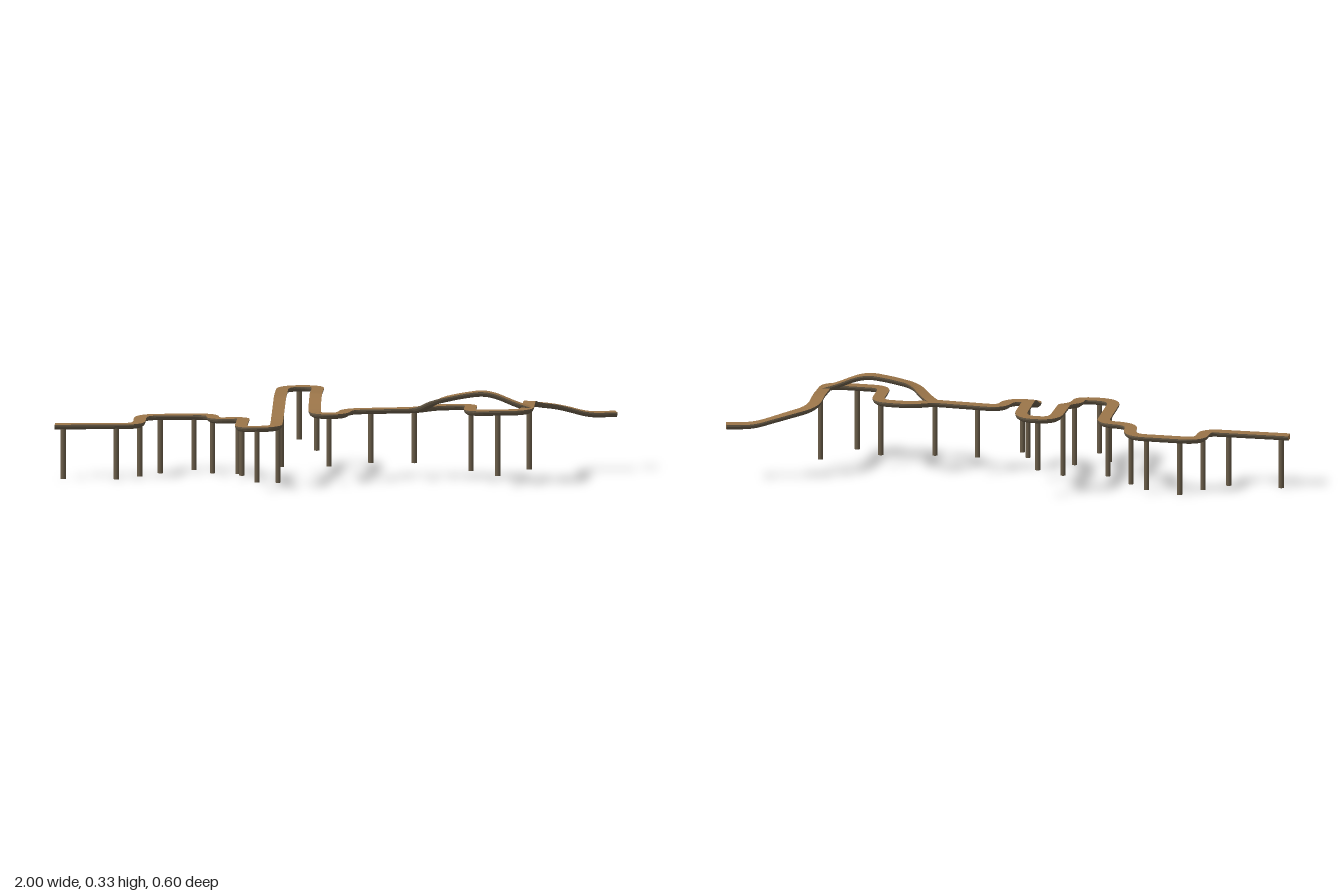
import * as THREE from 'three';

const wood = new THREE.MeshStandardMaterial({ color: 0x9b7549 });
wood.name = 'tan wood';
const darkWood = new THREE.MeshStandardMaterial({ color: 0x6a5d49 });
darkWood.name = 'dark timber';

// Right half of the rounded hull below the flat deck: [sideways, down]
const half = [[0.022, 0], [0.0215, -0.006], [0.018, -0.013], [0.011, -0.018]];
const hull = [...half, ...half.map(([s, d]) => [-s, d]).reverse()];

// Polyline of [x, y, z, cornerRadius] with rounded corners
function roundedPath(corners) {
  const pts = corners.map(([x, y, z]) => new THREE.Vector3(x, y, z));
  const out = [pts[0]];
  for (let i = 1; i < pts.length - 1; i++) {
    const p = pts[i];
    const r = corners[i][3] ?? 0.03;
    const toward = (q) => p.clone().lerp(q, Math.min(0.48, r / p.distanceTo(q)));
    out.push(...new THREE.QuadraticBezierCurve3(toward(pts[i - 1]), p, toward(pts[i + 1])).getPoints(7));
  }
  out.push(pts[pts.length - 1]);
  return out;
}

// Join matching rows of points into faces
function loft(rows, name, material) {
  const pos = [];
  const quad = (a, b, c, d) => [a, b, c, a, c, d].forEach((p) => pos.push(p.x, p.y, p.z));
  for (let i = 0; i < rows.length - 1; i++)
    for (let j = 0; j < rows[i].length - 1; j++)
      quad(rows[i][j], rows[i][j + 1], rows[i + 1][j + 1], rows[i + 1][j]);
  const g = new THREE.BufferGeometry();
  g.setAttribute('position', new THREE.Float32BufferAttribute(pos, 3));
  g.computeVertexNormals();
  const mesh = new THREE.Mesh(g, material);
  mesh.name = name;
  return mesh;
}

// Flat deck, hull below it and end caps, swept along a path
function track(path, name) {
  const group = new THREE.Group();
  group.name = name;
  const rings = path.map((p, i) => {
    const t = path[Math.min(i + 1, path.length - 1)].clone().sub(path[Math.max(i - 1, 0)]);
    const side = new THREE.Vector3(-t.z, 0, t.x).normalize();
    return hull.map(([s, d]) => p.clone().addScaledVector(side, s).add(new THREE.Vector3(0, d, 0)));
  });
  const n = hull.length;
  group.add(loft(rings.map((r) => [r[n - 1], r[0]]), 'deck', wood));
  group.add(loft(rings, 'hull', darkWood));
  // Caps join the right half of the ring to the left half
  const cap = (r) => [r.slice(0, n / 2), r.slice(n / 2).reverse()];
  group.add(loft(cap(rings[0]).reverse(), 'startCap', wood));
  group.add(loft(cap(rings[rings.length - 1]), 'endCap', wood));
  return group;
}

export function createModel() {
  const model = new THREE.Group();
  model.name = 'elevatedTrack';

  // Main winding run
  const main = roundedPath([
    [-1, 0.197, 0.015], [-0.70, 0.2, 0.015, 0.05], [-0.70, 0.209, -0.143, 0.06],
    [-0.445, 0.213, -0.143, 0.06], [-0.435, 0.217, -0.012, 0.05], [-0.325, 0.221, -0.005, 0.04],
    [-0.325, 0.228, 0.276, 0.06], [-0.198, 0.231, 0.276, 0.06], [-0.198, 0.236, 0.2],
    [-0.198, 0.25, 0.13], [-0.198, 0.293, -0.06], [-0.198, 0.296, -0.28, 0.07],
    [-0.07, 0.298, -0.28, 0.07], [-0.07, 0.304, -0.05], [-0.07, 0.264, 0.05],
    [-0.065, 0.255, 0.113, 0.045], [0.03, 0.255, 0.113, 0.05], [0.045, 0.257, 0.012, 0.05],
    [0.29, 0.264, 0.015], [0.36, 0.267, -0.035, 0.035], [0.488, 0.27, -0.035, 0.05],
    [0.488, 0.274, 0.147, 0.05], [0.695, 0.278, 0.147, 0.06], [0.695, 0.285, -0.04],
    [0.7, 0.266, -0.14, 0.05], [0.79, 0.249, -0.205, 0.06], [0.9, 0.216, -0.229, 0.04],
    [0.995, 0.217, -0.252],
  ]);
  model.add(track(main, 'mainTrack'));

  // Humped branch crossing over the main run
  model.add(track(roundedPath([
    [0.29, 0.264, 0.015], [0.315, 0.272, 0.036], [0.37, 0.307, 0.083, 0.035],
    [0.45, 0.325, 0.083], [0.53, 0.337, 0.083], [0.58, 0.328, 0.083],
    [0.65, 0.298, 0.083], [0.705, 0.28, 0.083],
  ]), 'overpassTrack'));

  // Round posts: [x, z, foot height], each reaching up into the nearest deck
  const posts = [
    [-0.97, 0.02, 0], [-0.78, 0.02, 0], [-0.70, -0.055, 0], [-0.63, -0.14, 0],
    [-0.51, -0.14, 0.013], [-0.44, -0.065, 0.012], [-0.345, 0.003, 0.02], [-0.325, 0.15, 0.035],
    [-0.265, 0.283, 0.03], [-0.195, 0.167, 0.013], [-0.195, -0.073, 0.035], [-0.14, -0.28, 0.105],
    [-0.068, -0.073, 0.095], [-0.015, 0.115, 0.065], [0.13, 0.015, 0.065], [0.285, 0.015, 0.065],
    [0.49, 0.065, 0.045], [0.59, 0.15, 0.04], [0.695, -0.015, 0.04],
  ];
  for (const [x, z, foot] of posts) {
    const dist = (p) => Math.hypot(p.x - x, p.z - z);
    // Closest point over all path segments
    let best = main[0];
    for (let i = 0; i < main.length - 1; i++) {
      for (let k = 0; k <= 10; k++) {
        const p = main[i].clone().lerp(main[i + 1], k / 10);
        if (dist(p) < dist(best)) best = p;
      }
    }
    const height = best.y - 0.008 - foot;
    const post = new THREE.Mesh(new THREE.CylinderGeometry(0.0095, 0.0095, height, 16), darkWood);
    post.position.set(x, foot + height / 2, z);
    post.name = 'supportPost';
    model.add(post);
  }
  return model;
}
